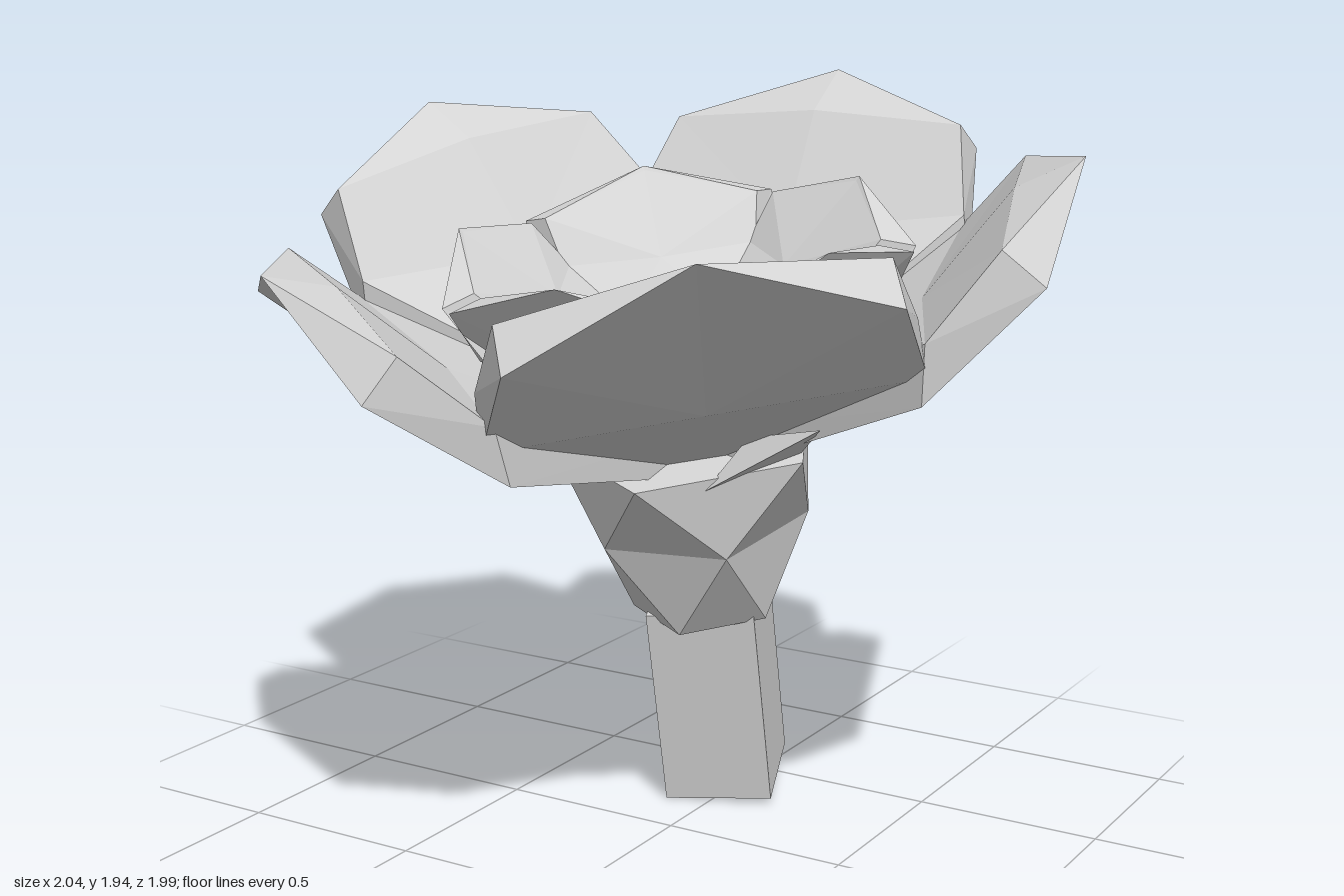
import * as THREE from 'three';

const DEG = Math.PI / 180;

// Faceted geometry from a list of points and triangle indices
function faceted(points, index) {
  const g = new THREE.BufferGeometry();
  g.setAttribute('position', new THREE.Float32BufferAttribute(points.flat(), 3));
  g.setIndex(index);
  const flat = g.toNonIndexed();
  flat.computeVertexNormals();
  return flat;
}

// Half profile [width, height, reach] from base to tip, mirrored into a full rim
function rim(half) {
  const left = half.slice(0, -1).map(([w, h, r]) => [-w, h, r]);
  const right = half.slice(0, -1).reverse();
  return [...left, half[half.length - 1], ...right];
}

// Thick cupped petal: under and upper skins fanned round a middle point, joined by mirrored walls
function petalGeometry(under, underMid, upper, upperMid) {
  const a = rim(under), b = rim(upper), n = a.length;
  const points = [...a, ...b, underMid, upperMid], index = [];
  for (let i = 0; i < n; i++) {
    const j = (i + 1) % n;
    index.push(2 * n, j, i);
    index.push(2 * n + 1, n + i, n + j);
    if (j <= n / 2) index.push(i, j, n + i, j, n + j, n + i);
    else index.push(i, j, n + j, i, n + j, n + i);
  }
  return faceted(points, index);
}

// Stacked five-sided rings, each turned half a step from the last
function calyxGeometry(rings) {
  const points = [], index = [], n = 5;
  rings.forEach(([r, h], k) => {
    for (let i = 0; i < n; i++) {
      const t = (8 + 72 * i + (k % 2) * 36) * DEG;
      points.push([r * Math.sin(t), h, r * Math.cos(t)]);
    }
  });
  for (let k = 0; k < rings.length - 1; k++) {
    for (let i = 0; i < n; i++) {
      const j = (i + 1) % n, lo = k * n, hi = lo + n;
      if (k % 2 === 0) index.push(lo + i, lo + j, hi + i, lo + j, hi + j, hi + i);
      else index.push(lo + i, lo + j, hi + j, lo + i, hi + j, hi + i);
    }
  }
  const top = (rings.length - 1) * n;
  points.push([0, rings[0][1], 0], [0, rings[rings.length - 1][1], 0]);
  for (let i = 0; i < n; i++) {
    const j = (i + 1) % n;
    index.push(points.length - 2, j, i, points.length - 1, top + i, top + j);
  }
  return faceted(points, index);
}

export function createModel() {
  const model = new THREE.Group();
  model.name = 'flower';
  const grey = new THREE.MeshStandardMaterial({ color: 0xd4d4d4 });
  grey.name = 'pale grey';

  // Everything hangs on one axis that nods forward
  const bloom = new THREE.Group();
  bloom.name = 'bloom';
  bloom.position.set(-0.02, 1.0, -0.14);
  bloom.rotation.x = 0.19;
  model.add(bloom);

  const add = (name, geometry) => {
    const mesh = new THREE.Mesh(geometry, grey);
    mesh.name = name;
    bloom.add(mesh);
    return mesh;
  };

  // Square stem
  const stem = add('stem', new THREE.BoxGeometry(0.29, 0.56, 0.3));
  stem.position.set(-0.01, -0.71, -0.025);
  stem.rotation.y = 0.36;

  // Calyx
  add('calyx', calyxGeometry([[0.2, -0.45], [0.29, -0.2], [0.37, 0.03]]));

  // Pointed sepals poking out below the outer petals, none at the front
  const spike = faceted(
    [[-0.15, 0.0, 0.26], [0.15, 0.0, 0.26], [0, 0.1, 0.26], [0, 0.2, 0.56]],
    [0, 1, 3, 1, 2, 3, 2, 0, 3, 0, 2, 1]);
  for (let i = 0; i < 4; i++) {
    add('sepal', spike).rotation.y = (66 + 72 * i) * DEG;
  }

  // Outer petals, each lifted and rolled a little differently
  const outer = petalGeometry(
    [[0.13, 0.0, 0.12], [0.52, 0.31, 0.66], [0.44, 0.57, 0.94], [0, 0.765, 1.01]], [0, 0.31, 0.66],
    [[0.12, 0.1, 0.12], [0.51, 0.46, 0.67], [0.44, 0.66, 0.84], [0, 0.69, 0.84]], [0, 0.41, 0.61]);
  const poses = [[0.04, 0.04], [-0.03, -0.03], [-0.01, -0.01], [0.05, 0], [-0.05, -0.045]];
  poses.forEach(([lift, roll], i) => {
    const petal = add('outerPetal', outer);
    petal.rotation.order = 'YXZ';
    petal.rotation.set(-lift, (37 + 72 * i) * DEG, roll);
  });

  // Inner petals forming a cup, thin at the tip and thick at the shoulders
  const inner = petalGeometry(
    [[0.1, 0.15, 0.12], [0.34, 0.36, 0.41], [0.34, 0.52, 0.51], [0, 0.62, 0.55]], [0, 0.33, 0.4],
    [[0.12, 0.32, 0.16], [0.26, 0.43, 0.34], [0.29, 0.54, 0.44], [0, 0.61, 0.54]], [0, 0.43, 0.31]);
  for (let i = 0; i < 5; i++) {
    add('innerPetal', inner).rotation.y = (2 + 72 * i) * DEG;
  }

  // Eight-sided flower centre
  const centre = new THREE.CylinderGeometry(0.15, 0.18, 0.12, 8).toNonIndexed();
  centre.computeVertexNormals();
  const disc = add('centre', centre);
  disc.position.y = 0.29;
  disc.rotation.y = 0.3;

  return model;
}
